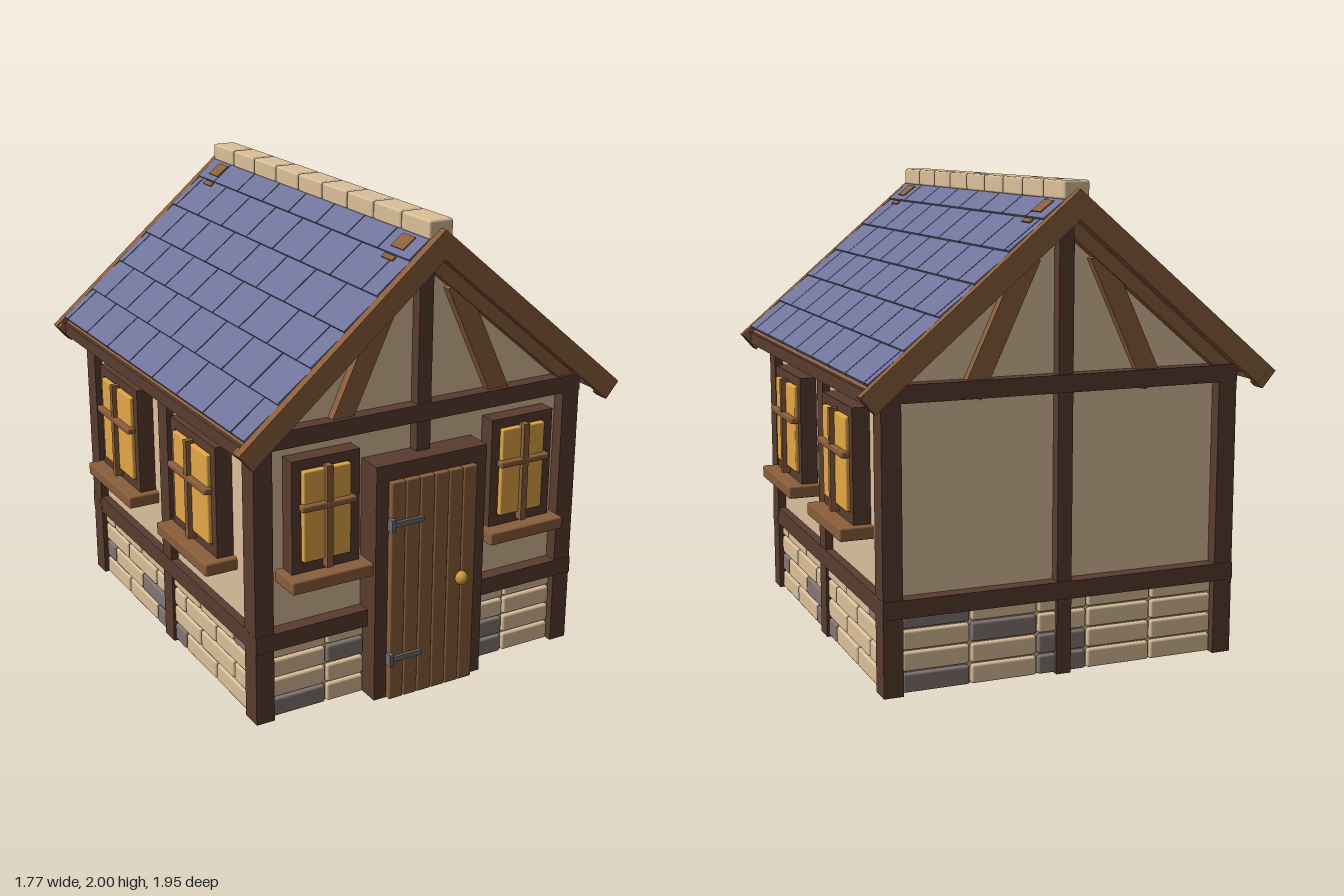
import * as THREE from 'three';
import { RoundedBoxGeometry } from 'three/addons/geometries/RoundedBoxGeometry.js';

const mat = (name, color) => Object.assign(new THREE.MeshStandardMaterial({ color }), { name });
const PITCH = 0.844, ANGLE = Math.atan(PITCH);

export function createModel() {
  const M = {
    plaster: mat('plaster', 0xdbc09b), dark: mat('dark timber', 0x593c30), wood: mat('brown timber', 0x8b5e3c),
    stone: mat('light stone', 0xdcc09a), grey: mat('grey stone', 0x827673), slate: mat('slate', 0x70739a),
    amber: mat('amber glass', 0xe2a746), iron: mat('iron', 0x6d6a6a), brass: mat('brass', 0xcf983c),
  };
  const root = new THREE.Group();
  root.name = 'cottage';

  const add = (parent, name, geometry, material, x = 0, y = 0, z = 0) => {
    const m = new THREE.Mesh(geometry, material);
    m.name = name;
    m.position.set(x, y, z);
    parent.add(m);
    return m;
  };
  const group = (name, parent = root) => {
    const g = new THREE.Group();
    g.name = name;
    parent.add(g);
    return g;
  };
  // Box given by its min and max along each axis
  const box = (parent, name, material, x0, x1, y0, y1, z0, z1, radius = 0) => {
    const size = [x1 - x0, y1 - y0, z1 - z0];
    const geo = radius ? new RoundedBoxGeometry(...size, 1, radius) : new THREE.BoxGeometry(...size);
    return add(parent, name, geo, material, (x0 + x1) / 2, (y0 + y1) / 2, (z0 + z1) / 2);
  };
  const extrude = (points, depth, hole) => {
    const shape = new THREE.Shape(points.map(p => new THREE.Vector2(...p)));
    if (hole) shape.holes.push(new THREE.Path(hole.map(p => new THREE.Vector2(...p))));
    return new THREE.ExtrudeGeometry(shape, { depth, bevelEnabled: false });
  };
  // Inverted V that follows the roof pitch
  const chevron = (apex, thick, end, depth) => {
    const low = apex - PITCH * end, c = Math.cos(ANGLE), s = Math.sin(ANGLE);
    return extrude([[0, apex], [-end, low], [-end + thick * s, low - thick * c], [0, apex - thick / c],
      [end - thick * s, low - thick * c], [end, low]], depth);
  };

  // Walls, with a slightly wider plinth behind the stones
  add(root, 'plasterWalls', extrude([[-0.735, 0.02], [0.735, 0.02], [0.735, 1.22], [0, 1.84], [-0.735, 1.22]], 1.6),
    M.plaster, 0, 0, -0.8);
  box(root, 'plinth', M.plaster, -0.742, 0.742, 0.005, 0.33, -0.815, 0.815);

  // Stone courses: each row holds brick edges and the indices of grey stones
  const courses = (name, rotation, face, rows) => {
    const g = group(name);
    g.rotation.y = rotation;
    rows.forEach(([edges, greys], r) => {
      for (let i = 0; i < edges.length - 1; i++) {
        box(g, 'stone', greys.includes(i) ? M.grey : M.stone, edges[i] + 0.004, edges[i + 1] - 0.004,
          r * 0.0875 + 0.004, Math.min((r + 1) * 0.0875 - 0.004, 0.33), face - 0.06, face, 0.01);
      }
    });
  };
  const sideA = [-0.76, -0.485, -0.165, 0.15, 0.45, 0.76], sideB = [-0.76, -0.65, -0.33, 0, 0.3, 0.62, 0.76];
  const sideRows = [[sideA, [2]], [sideB, [0, 2]], [sideA, []], [sideB, [5]]];
  courses('leftStones', Math.PI / 2, 0.757, sideRows);
  courses('rightStones', -Math.PI / 2, 0.757, sideRows);
  const frontE = [-0.69, -0.44, -0.26, 0.26, 0.44, 0.69];
  courses('frontStones', 0, 0.835, [[frontE, [0, 3]], [frontE, [3]], [frontE, [1]], [frontE, []]]);
  const backE = [-0.69, -0.4, -0.11, 0.11, 0.4, 0.69];
  courses('backStones', Math.PI, 0.835, [[backE, [0, 2]], [backE, [2]], [backE, [1]], [backE, [0]]]);

  // Timber frame
  const frame = group('timberFrame');
  for (const s of [-1, 1]) {
    const span = (a, b) => (s > 0 ? [a, b] : [-b, -a]);
    for (const t of [-1, 1]) {
      box(frame, 'cornerPost', M.dark, ...span(0.69, 0.772), 0, 1.2, ...(t > 0 ? [0.76, 0.855] : [-0.855, -0.76]));
    }
    box(frame, 'sidePost', M.dark, ...span(0.69, 0.768), 0, 1.2, -0.045, 0.045);
    box(frame, 'sideLowerRail', M.dark, ...span(0.7, 0.771), 0.318, 0.395, -0.8, 0.8);
    box(frame, 'sideTopRail', M.dark, ...span(0.7, 0.771), 1.165, 1.22, -0.8, 0.8);
    box(frame, 'endLowerRail', M.dark, -0.773, 0.773, 0.318, 0.392, ...span(0.78, 0.86));
    box(frame, 'endTopRail', M.dark, -0.773, 0.773, 1.165, 1.237, ...span(0.78, 0.858));
    box(frame, 'gablePost', M.dark, -0.032, 0.032, s > 0 ? 1.03 : 0, 1.86, ...span(0.76, 0.848));
    add(frame, 'gableRafters', chevron(1.87, 0.055, 0.77, 0.055), M.wood, 0, 0, s > 0 ? 0.79 : -0.845);
    for (const t of [-1, 1]) {
      const brace = add(frame, 'gableBrace', new THREE.BoxGeometry(0.088, 0.59, 0.05), M.wood, t * 0.272, 1.44, s * 0.813);
      brace.rotation.z = t * 0.435;
    }
  }

  // Windows, built facing +z with the wall at z = 0; the glass stands just proud of the frame
  const windowUnit = (name, w, x, z, rotation) => {
    const g = group(name), h = 0.475, b = 0.042, a = w / 2;
    g.position.set(x, 0.64, z);
    g.rotation.y = rotation;
    const rect = (m, n) => [[-m, n], [m, n], [m, h - n], [-m, h - n]];
    add(g, 'frame', extrude(rect(a, 0), 0.073, rect(a - b, b)), M.dark);
    box(g, 'glass', M.amber, b - a + 0.004, a - b - 0.004, b + 0.004, h - b - 0.004, 0, 0.088, 0.006);
    box(g, 'verticalBar', M.wood, -0.014, 0.014, 0.014, h - 0.032, 0.07, 0.108);
    box(g, 'crossBar', M.wood, 0.03 - a, a - 0.03, 0.267, 0.295, 0.07, 0.11, 0.008);
    box(g, 'sill', M.wood, -a - 0.032, a + 0.032, -0.055, 0, -0.02, 0.14, 0.008);
  };
  for (const s of [-1, 1]) {
    windowUnit('frontWindow', 0.305, s * 0.467, 0.805, 0);
    for (const z of [-0.388, 0.388]) windowUnit('sideWindow', 0.42, s * 0.735, z, s * Math.PI / 2);
  }

  // Door
  const door = group('door');
  for (const s of [-1, 1]) box(door, 'doorJamb', M.dark, s * 0.232 - 0.03, s * 0.232 + 0.03, 0, 1.037, 0.79, 0.918);
  box(door, 'doorLintel', M.dark, -0.262, 0.262, 0.968, 1.037, 0.79, 0.92);
  box(door, 'doorBacking', M.dark, -0.205, 0.205, 0, 0.968, 0.79, 0.915);
  for (let i = 0; i < 6; i++) {
    const x = -0.205 + i * 0.0683;
    box(door, 'doorPlank', M.wood, x + 0.001, x + 0.0673, 0, 0.968, 0.88, 0.944, 0.006);
  }
  for (const y of [0.19, 0.79]) {
    box(door, 'hingeStrap', M.iron, -0.2, -0.058, y - 0.011, y + 0.011, 0.94, 0.957);
    box(door, 'hingePin', M.iron, -0.215, -0.197, y - 0.027, y + 0.027, 0.93, 0.965);
  }
  const stem = add(door, 'knobStem', new THREE.CylinderGeometry(0.014, 0.014, 0.03, 12), M.brass, 0.135, 0.48, 0.95);
  stem.rotation.x = Math.PI / 2;
  add(door, 'knob', new THREE.SphereGeometry(0.028, 16, 12), M.brass, 0.135, 0.48, 0.95).scale.y = 1.1;

  // Roof deck and bargeboards
  const roof = group('roof');
  add(roof, 'roofDeck', chevron(1.937, 0.045, 0.835, 1.86), M.wood, 0, 0, -0.93);
  for (const z of [-0.967, 0.932]) add(roof, 'bargeboard', chevron(1.967, 0.09, 0.887, 0.037), M.wood, 0, 0, z);

  // Slates on each slope; local x runs down the slope, local y stands off it
  const ROW = 0.185, START = -0.028, TILE = 0.2435, TILT = 0.05;
  for (const s of [-1, 1]) {
    box(roof, 'eaveBoard', M.dark, s * 0.83 - 0.02, s * 0.83 + 0.02, 1.178, 1.232, -0.92, 0.92);
    const slope = group('slope', roof);
    slope.position.y = 1.939;
    slope.rotation.z = -s * ANGLE;
    const onSlope = (name, material, d, h, z, length, thick, width) => {
      const m = add(slope, name, new THREE.BoxGeometry(length, thick, width), material, s * d, h, z);
      m.rotation.z = s * TILT;
    };
    for (let r = 0; r < 6; r++) {
      const first = r % 2 ? 1.0635 : 0.9445;
      for (let i = 0; i < 9; i++) {
        const z1 = Math.min(first - i * TILE, 0.932), z0 = Math.max(first - (i + 1) * TILE, -0.932);
        if (z1 - z0 < 0.02) continue;
        onSlope('slate', M.slate, START + (r + 0.5) * ROW, 0.013, (z0 + z1) / 2, ROW + 0.004, 0.02, z1 - z0 - 0.006);
      }
    }
    // Exposed timber patches by the ridge ends, and blocks at the eave ends
    for (const t of [-1, 1]) {
      onSlope('timberPatch', M.wood, 0.095, 0.025, t * 0.81, 0.07, 0.008, 0.09);
      onSlope('timberPatch', M.wood, 0.175, 0.021, t * 0.8, 0.022, 0.008, 0.08);
      const block = add(roof, 'eaveEndBlock', new THREE.BoxGeometry(0.03, 0.088, 0.06), M.wood,
        s * 0.843, 1.192, t * 0.938);
      block.rotation.z = -s * ANGLE;
    }
  }

  // Ridge stones
  for (let i = 0; i < 9; i++) {
    const z = -0.935 + i * 0.2083;
    box(roof, 'ridgeStone', M.stone, -0.055, 0.055, 1.925, 2, z + 0.002, z + 0.206, 0.01);
  }
  return root;
}
